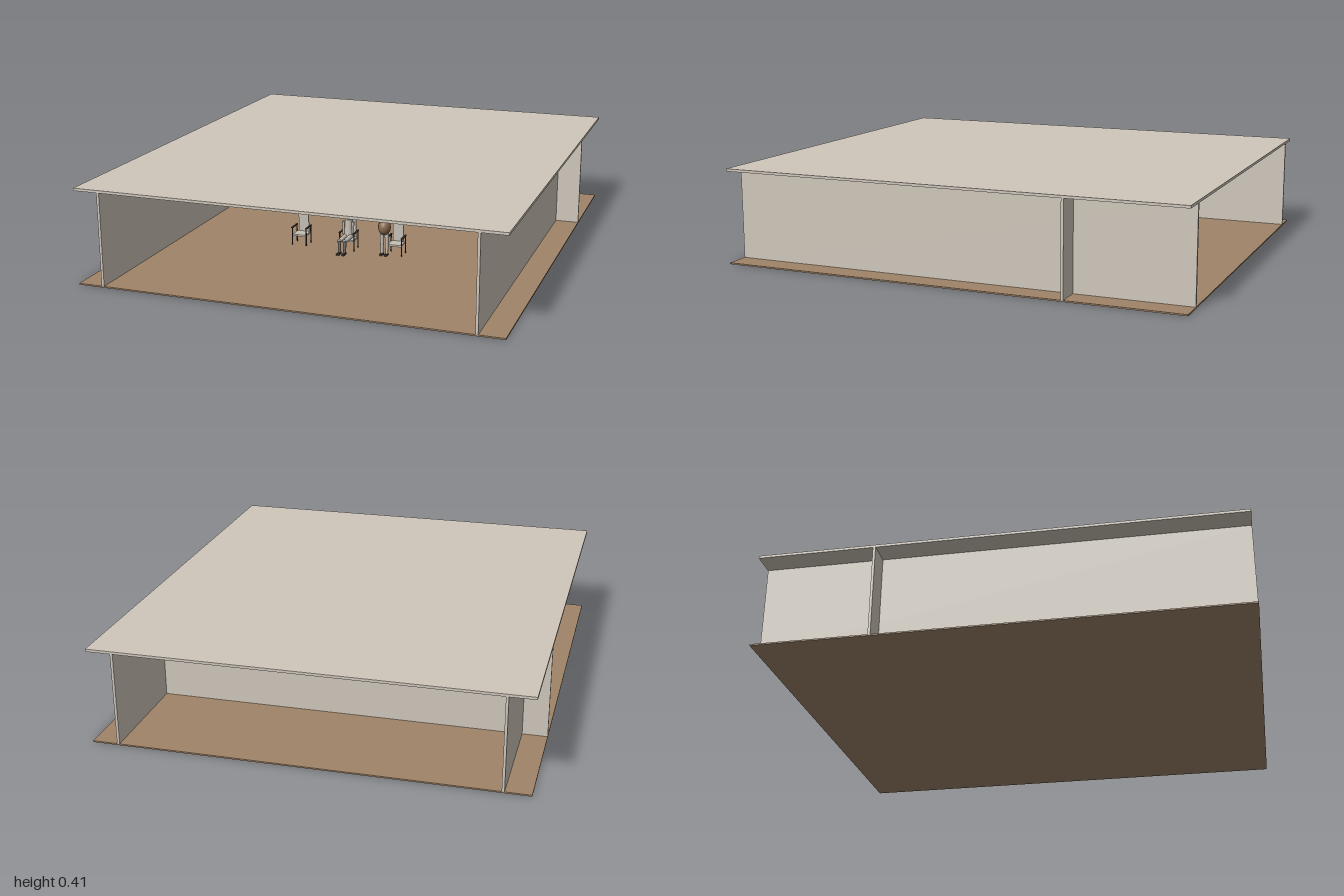
import * as THREE from 'three';

const mat = (name, color) => {
  const m = new THREE.MeshStandardMaterial({ color });
  m.name = name;
  return m;
};

export function createModel() {
  const model = new THREE.Group();
  model.name = 'openRoom';
  const plaster = mat('plaster', 0xcfc7bb);
  const wood = mat('floorWood', 0xa08468);
  const metal = mat('darkMetal', 0x3a3734);
  const fabric = mat('paleFabric', 0xc6c0b6);
  const skin = mat('brownSkin', 0x8a6a50);
  const trousers = mat('greyTrousers', 0x77726b);

  const add = (parent, name, geo, material, x, y, z) => {
    const mesh = new THREE.Mesh(geo, material);
    mesh.name = name;
    mesh.position.set(x, y, z);
    parent.add(mesh);
    return mesh;
  };
  const box = (parent, name, material, w, h, d, x, y, z) =>
    add(parent, name, new THREE.BoxGeometry(w, h, d), material, x, y, z);
  const ball = (parent, name, material, rx, ry, rz, x, y, z) =>
    add(parent, name, new THREE.SphereGeometry(1, 20, 14), material, x, y, z).scale.set(rx, ry, rz);
  const rod = (parent, name, material, r0, r1, h, x, y, z) =>
    add(parent, name, new THREE.CylinderGeometry(r0, r1, h, 14), material, x, y, z);
  const group = (name, x, z) => {
    const g = new THREE.Group();
    g.name = name;
    g.position.set(x, 0.006, z);
    model.add(g);
    return g;
  };

  // Shell: floor, roof, two long walls and a full-width cross wall
  box(model, 'floor', wood, 1.78, 0.006, 2, 0, 0.003, 0);
  box(model, 'roof', plaster, 1.78, 0.011, 2, 0, 0.4045, 0);
  for (const s of [-1, 1]) box(model, 'sideWall', plaster, 0.011, 0.393, 2, s * 0.78, 0.2025, 0);
  box(model, 'crossWall', plaster, 1.78, 0.393, 0.011, 0, 0.2025, -0.507);
  box(model, 'wallBoard', plaster, 0.375, 0.145, 0.006, 0.175, 0.195, -0.4985);

  // Row of armchairs with thin frames
  for (const x of [-0.225, 0, 0.22]) {
    const chair = group('chair', x, 0.22);
    box(chair, 'seat', fabric, 0.06, 0.008, 0.06, 0, 0.046, 0);
    box(chair, 'backrest', fabric, 0.048, 0.078, 0.006, 0, 0.09, -0.03);
    for (const s of [-1, 1]) {
      box(chair, 'armrest', metal, 0.008, 0.004, 0.064, s * 0.033, 0.08, 0);
      for (const z of [-0.028, 0.028]) box(chair, 'chairLeg', metal, 0.004, 0.08, 0.004, s * 0.033, 0.04, z);
    }
  }

  // Seated figure, facing the front
  const sitter = group('seatedFigure', -0.003, 0.22);
  rod(sitter, 'torso', fabric, 0.017, 0.021, 0.085, 0, 0.092, -0.008);
  ball(sitter, 'head', skin, 0.012, 0.015, 0.013, 0, 0.164, -0.004);
  rod(sitter, 'neck', skin, 0.005, 0.005, 0.02, 0, 0.142, -0.006);
  for (const s of [-1, 1]) {
    rod(sitter, 'thigh', fabric, 0.01, 0.01, 0.08, s * 0.012, 0.058, 0.042).rotation.x = Math.PI / 2;
    rod(sitter, 'shin', trousers, 0.008, 0.006, 0.055, s * 0.012, 0.032, 0.08);
    box(sitter, 'shoe', metal, 0.012, 0.008, 0.032, s * 0.012, 0.004, 0.09);
    rod(sitter, 'arm', fabric, 0.006, 0.005, 0.06, s * 0.022, 0.096, 0);
  }

  // Standing figure with a rounded body
  const stander = group('standingFigure', 0.175, 0.25);
  ball(stander, 'body', skin, 0.027, 0.034, 0.032, 0, 0.126, 0);
  ball(stander, 'head', skin, 0.013, 0.02, 0.014, -0.021, 0.126, -0.018);
  for (const s of [-1, 1]) {
    rod(stander, 'leg', fabric, 0.01, 0.006, 0.09, s * 0.011, 0.052, 0);
    box(stander, 'shoe', metal, 0.012, 0.008, 0.028, s * 0.011, 0.004, 0.005);
  }
  return model;
}
